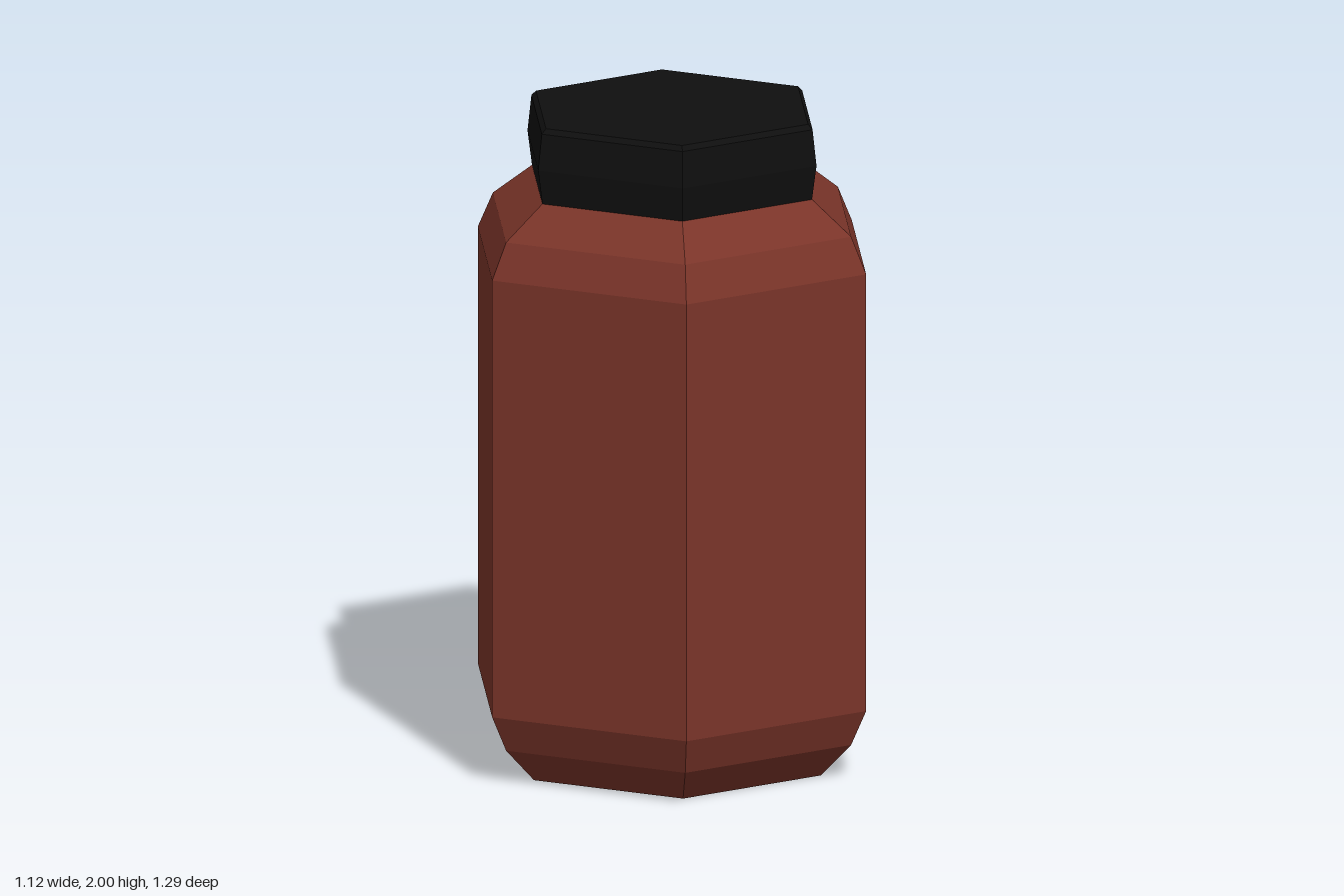
import * as THREE from 'three';

// Six-sided faceted solid turned from a [radius, height] profile, corners on the z axis
function hexTurned(name, profile, material) {
  const points = profile.map(([r, y]) => new THREE.Vector2(r, y));
  const geometry = new THREE.LatheGeometry(points, 6).toNonIndexed();
  geometry.computeVertexNormals(); // one normal per facet
  const mesh = new THREE.Mesh(geometry, material);
  mesh.name = name;
  return mesh;
}

export function createModel() {
  const brown = new THREE.MeshStandardMaterial({ color: 0x7a3429 });
  brown.name = 'reddish brown';
  const black = new THREE.MeshStandardMaterial({ color: 0x0f0f0f });
  black.name = 'black';

  const jar = new THREE.Group();
  jar.name = 'jar';

  // Body: bevelled base, straight walls, sloping shoulder
  jar.add(hexTurned('body', [
    [0, 0], [0.495, 0], [0.595, 0.105], [0.645, 0.215],
    [0.645, 1.56], [0.595, 1.67], [0.465, 1.77],
  ], brown));

  // Lid: slightly bulging sides and a small bevel round the top
  jar.add(hexTurned('lid', [
    [0, 1.77], [0.465, 1.77], [0.48, 1.875], [0.467, 1.985], [0.452, 2], [0, 2],
  ], black));

  return jar;
}
